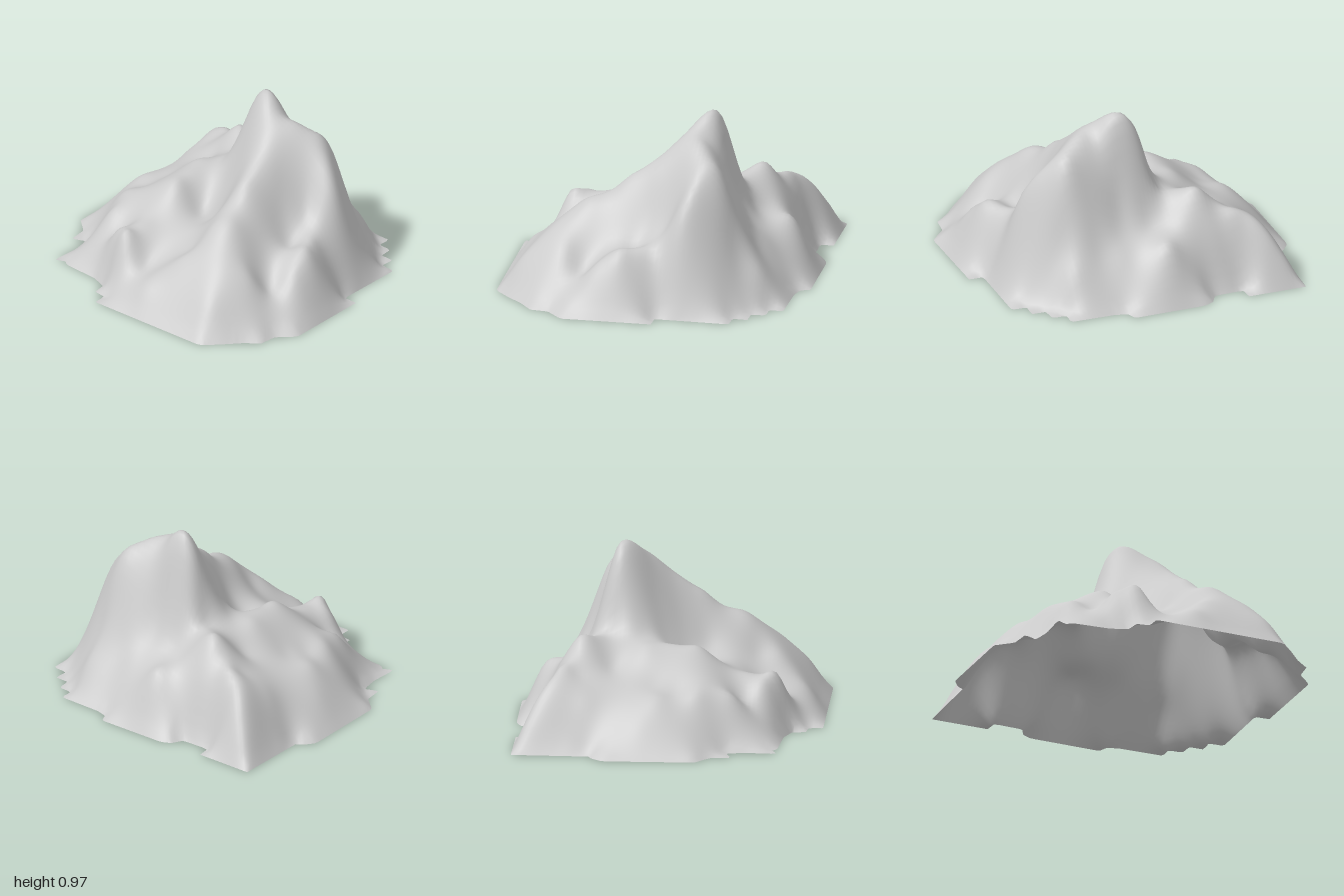
import * as THREE from 'three';

// Foot of the mountain, [x, z] around the stepped edge
const outline = [
  [0.05, -0.935], [0.12, -0.91], [0.15, -0.88], [0.56, -1], [0.65, -0.68], [0.58, -0.65], [0.63, -0.49],
  [0.7, -0.476], [0.74, -0.43], [0.855, -0.035], [0.81, 0], [0.81, 0.07], [0.875, 0.32], [0.8, 0.34],
  [0.82, 0.42], [0.745, 0.45], [0.765, 0.53], [0.685, 0.55], [0.705, 0.635], [0.31, 0.76], [0.33, 0.84],
  [-0.15, 1], [-0.26, 0.94], [-0.36, 0.96], [-0.45, 0.9], [-0.56, 0.85], [-0.66, 0.795], [-0.875, 0.065],
  [-0.8, 0.04], [-0.81, -0.035], [-0.74, -0.07], [-0.73, -0.17], [-0.775, -0.385], [-0.76, -0.42],
  [-0.8, -0.47], [-0.64, -0.51], [-0.54, -0.56], [-0.59, -0.625], [-0.485, -0.67], [-0.435, -0.78],
];

// Landforms as points [x, z, height]
const landforms = {
  summit: [[0.27, 0.07, 0.955], [0.3, -0.02, 0.94], [0.2, 0.07, 0.91], [0.345, 0.05, 0.86], [0.28, -0.1, 0.82],
    [0.27, -0.18, 0.55]],
  southWestRidge: [[0.12, 0.18, 0.8], [0.02, 0.27, 0.7], [-0.08, 0.33, 0.625], [-0.16, 0.39, 0.54],
    [-0.25, 0.48, 0.49], [-0.32, 0.39, 0.46], [-0.4, 0.32, 0.32], [-0.42, 0.62, 0.33], [-0.55, 0.72, 0.17]],
  southEastRidge: [[0.31, 0.15, 0.86], [0.32, 0.23, 0.855], [0.42, 0.27, 0.785], [0.47, 0.31, 0.74],
    [0.44, 0.39, 0.71], [0.39, 0.47, 0.66], [0.37, 0.56, 0.52], [0.28, 0.62, 0.33]],
  foothill: [[0.17, 0.65, 0.34], [0.08, 0.74, 0.335], [-0.05, 0.8, 0.24], [-0.2, 0.84, 0.12]],
  frontGully: [[0.1, 0.35, 0.66], [0.1, 0.45, 0.45], [0.08, 0.56, 0.31], [0.24, 0.48, 0.46],
    [-0.08, 0.5, 0.43], [-0.11, 0.62, 0.28], [-0.16, 0.72, 0.18], [-0.28, 0.72, 0.27]],
  eastFace: [[0.53, 0.34, 0.57], [0.58, 0.35, 0.38], [0.72, 0.3, 0.17], [0.45, 0.14, 0.62], [0.52, 0.04, 0.37],
    [0.6, 0.15, 0.31], [0.61, 0.03, 0.27], [0.5, 0.55, 0.32], [0.42, 0.02, 0.55]],
  eastSpur: [[0.47, -0.24, 0.37], [0.56, -0.23, 0.335], [0.64, -0.24, 0.305], [0.7, -0.21, 0.2],
    [0.43, -0.13, 0.42], [0.56, -0.36, 0.28]],
  backRidge: [[0.32, -0.27, 0.5], [0.37, -0.41, 0.535], [0.41, -0.5, 0.43], [0.42, -0.61, 0.405],
    [0.45, -0.72, 0.34], [0.48, -0.8, 0.265], [0.52, -0.9, 0.12], [0.51, -0.5, 0.28]],
  backBench: [[0.1, -0.16, 0.51], [0.03, -0.3, 0.47], [-0.08, -0.18, 0.47], [-0.22, -0.13, 0.46],
    [-0.13, 0, 0.32], [0.01, -0.04, 0.46], [-0.02, 0.13, 0.53], [0.1, 0.03, 0.68], [-0.15, 0.17, 0.39],
    [-0.33, 0.12, 0.31]],
  backSlope: [[0.32, -0.6, 0.38], [0.2, -0.52, 0.365], [0.18, -0.42, 0.38], [0.08, -0.43, 0.37],
    [-0.08, -0.46, 0.32], [-0.15, -0.6, 0.28], [-0.22, -0.47, 0.29], [-0.34, -0.48, 0.29],
    [-0.1, -0.75, 0.16], [0.22, -0.74, 0.25], [-0.4, -0.33, 0.31], [-0.5, -0.36, 0.26], [-0.52, -0.23, 0.21]],
  westHills: [[-0.64, -0.02, 0.31], [-0.56, -0.06, 0.31], [-0.48, -0.08, 0.315], [-0.4, -0.04, 0.32],
    [-0.61, -0.14, 0.27], [-0.58, 0.12, 0.17], [-0.46, 0.18, 0.23], [-0.5, 0.36, 0.3], [-0.52, 0.52, 0.27],
    [-0.7, 0.3, 0.14]],
};

const edges = outline.map((a, i) => [a, outline[(i + 1) % outline.length]]);

function isInside(x, z) {
  let inside = false;
  for (const [[ax, az], [bx, bz]] of edges) {
    if ((az > z) !== (bz > z) && x < ax + ((z - az) * (bx - ax)) / (bz - az)) inside = !inside;
  }
  return inside;
}

function nearestOnOutline(x, z) {
  let best = null, bestD = Infinity;
  for (const [[ax, az], [bx, bz]] of edges) {
    const dx = bx - ax, dz = bz - az;
    const t = THREE.MathUtils.clamp(((x - ax) * dx + (z - az) * dz) / (dx * dx + dz * dz), 0, 1);
    const p = [ax + t * dx, az + t * dz], d = Math.hypot(p[0] - x, p[1] - z);
    if (d < bestD) { bestD = d; best = p; }
  }
  return best;
}

// Smooth height field through all landform points, zero along the foot and falling on beyond it
function makeHeightField() {
  const pts = Object.values(landforms).flat();
  for (const [[ax, az], [bx, bz]] of edges) {
    const n = Math.ceil(Math.hypot(bx - ax, bz - az) / 0.09);
    for (let i = 0; i < n; i++) {
      const x = ax + ((bx - ax) * i) / n, z = az + ((bz - az) * i) / n;
      pts.push([x, z, 0]);
      const [ox, oz] = [x * 1.13, z * 1.13], [px, pz] = nearestOnOutline(ox, oz);
      const gap = Math.hypot(ox - px, oz - pz);
      if (gap > 0.07) pts.push([ox, oz, -0.8 * gap]);
    }
  }
  const kernel = (dx, dz) => Math.sqrt(dx * dx + dz * dz + 0.002);
  const n = pts.length;
  const m = pts.map((p) => [...pts.map((q) => kernel(p[0] - q[0], p[1] - q[1])), p[2]]);
  for (let c = 0; c < n; c++) {
    let pivot = c;
    for (let r = c + 1; r < n; r++) if (Math.abs(m[r][c]) > Math.abs(m[pivot][c])) pivot = r;
    [m[c], m[pivot]] = [m[pivot], m[c]];
    for (let r = c + 1; r < n; r++) {
      const f = m[r][c] / m[c][c];
      for (let k = c; k <= n; k++) m[r][k] -= f * m[c][k];
    }
  }
  const w = new Array(n).fill(0);
  for (let r = n - 1; r >= 0; r--) {
    let s = m[r][n];
    for (let k = r + 1; k < n; k++) s -= m[r][k] * w[k];
    w[r] = s / m[r][r];
  }
  return (x, z) => Math.max(0, pts.reduce((s, p, i) => s + w[i] * kernel(x - p[0], z - p[1]), 0));
}

export function createModel() {
  const height = makeHeightField();
  const step = 0.025, half = 52, row = 2 * half + 1;
  const [ca, sa] = [0.957, 0.291]; // the terrain grid is turned to follow the foot
  const at = (i, j) => {
    const u = (i - half) * step, v = (j - half) * step;
    return [ca * u + sa * v, -sa * u + ca * v];
  };

  // Keep the grid cells whose middle lies within the foot outline
  const index = [], useCount = new Array(row * row).fill(0);
  for (let j = 0; j < row - 1; j++) {
    for (let i = 0; i < row - 1; i++) {
      if (!isInside(...at(i + 0.5, j + 0.5))) continue;
      const a = j * row + i, b = a + 1, c = a + row, d = c + 1;
      index.push(a, c, b, b, c, d);
      for (const k of [a, b, c, d]) useCount[k]++;
    }
  }

  // Rim vertices snap to the outline at ground level, the rest follow the height field
  const position = [], remap = new Map();
  useCount.forEach((count, k) => {
    if (!count) return;
    remap.set(k, position.length / 3);
    const [x, z] = at(k % row, Math.floor(k / row));
    if (count < 4) {
      const [ox, oz] = nearestOnOutline(x, z);
      position.push(ox, 0, oz);
    } else {
      position.push(x, height(x, z), z);
    }
  });

  const geometry = new THREE.BufferGeometry();
  geometry.setAttribute('position', new THREE.Float32BufferAttribute(position, 3));
  geometry.setIndex(index.map((k) => remap.get(k)));
  geometry.computeVertexNormals();

  const mountain = new THREE.Mesh(
    geometry,
    new THREE.MeshStandardMaterial({ color: 0xcccccc, side: THREE.DoubleSide }),
  );
  mountain.name = 'mountainSurface';
  const group = new THREE.Group();
  group.name = 'mountain';
  group.add(mountain);
  return group;
}
